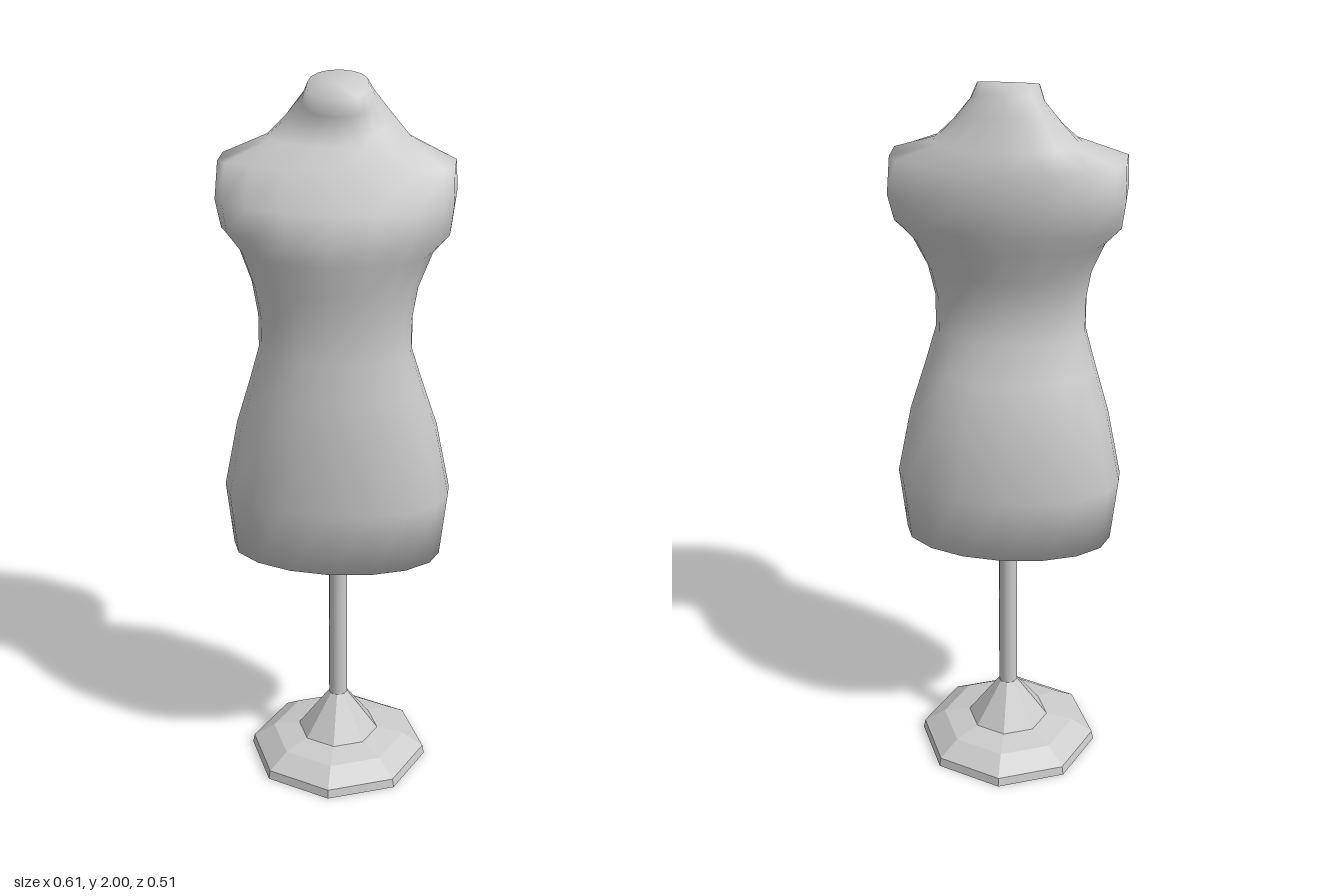
import * as THREE from 'three';

const grey = new THREE.MeshStandardMaterial({ color: 0xcccccc });
const faceted = new THREE.MeshStandardMaterial({ color: 0xcccccc, flatShading: true });

// Torso sections: height, half width, front z, back z, side flat from z / to z, fullness power, tilt
const SECTIONS = [
  [0.70, 0.285, 0.212, -0.16, 0.05, 0.00, 1.0, 0],
  [0.88, 0.305, 0.225, -0.17, 0.05, 0.00, 1.0, 0],
  [1.07, 0.268, 0.225, -0.155, 0.05, 0.01, 1.0, 0],
  [1.20, 0.228, 0.212, -0.105, 0.07, 0.03, 1.0, 0],
  [1.30, 0.200, 0.200, -0.07, 0.08, 0.05, 1.0, 0],
  [1.39, 0.200, 0.195, -0.06, 0.08, 0.05, 1.0, 0],
  [1.48, 0.215, 0.207, -0.08, 0.08, 0.03, 1.0, 0],
  [1.57, 0.250, 0.222, -0.112, 0.07, 0.00, 1.1, 0],
  [1.62, 0.292, 0.226, -0.127, 0.075, -0.02, 1.2, 0],
  [1.70, 0.302, 0.212, -0.15, 0.10, -0.055, 1.3, 0],
  [1.79, 0.300, 0.130, -0.147, 0.06, -0.02, 1.3, 0],
  [1.84, 0.185, 0.090, -0.128, 0.00, -0.03, 1.0, 0],
  [1.885, 0.135, 0.070, -0.10, 0.00, -0.02, 0.9, -0.36],
  [1.937, 0.092, 0.064, -0.08, 0.00, -0.02, 0.9, -0.45],
  [1.981, 0.077, 0.080, -0.06, 0.02, 0.00, 0.9, -0.32],
];
const QUARTER = 4; // steps per quarter of a section

// One closed loop of points, running front -> left -> back -> right
function sectionLoop([y, hx, front, back, sideFront, sideBack, power, tilt]) {
  const half = [];
  for (const [tip, side, dir] of [[front, sideFront, 1], [back, sideBack, -1]]) {
    for (let k = 0; k <= QUARTER; k++) {
      const a = (dir > 0 ? k : QUARTER - k) / QUARTER * Math.PI / 2;
      const c = Math.max(0, Math.cos(a));
      const z = side + (tip - side) * Math.pow(c, power);
      half.push([hx * Math.sin(a), y + tilt * z, z]);
    }
  }
  const mirrored = half.slice(1, -1).reverse().map(([x, py, z]) => [-x, py, z]);
  return half.concat(mirrored);
}

// Skin the sections into a closed, smooth surface
function torsoGeometry() {
  const loops = SECTIONS.map(sectionLoop);
  const n = loops[0].length;
  const points = loops.flat();
  const index = [];
  for (let i = 0; i < loops.length - 1; i++) {
    for (let j = 0; j < n; j++) {
      const a = i * n + j, b = i * n + (j + 1) % n;
      index.push(a, b, b + n, a, b + n, a + n);
    }
  }
  // Underside and neck lid
  const middle = (loop) => [0, (loop[0][1] + loop[n / 2][1]) / 2, (loop[0][2] + loop[n / 2][2]) / 2];
  const bottom = points.push(middle(loops[0])) - 1;
  const top = points.push(middle(loops[loops.length - 1])) - 1;
  const last = (loops.length - 1) * n;
  for (let j = 0; j < n; j++) {
    const k = (j + 1) % n;
    index.push(bottom, k, j, top, last + j, last + k);
  }
  const geometry = new THREE.BufferGeometry();
  geometry.setAttribute('position', new THREE.Float32BufferAttribute(points.flat(), 3));
  geometry.setIndex(index);
  geometry.computeVertexNormals();
  return geometry;
}

export function createModel() {
  const model = new THREE.Group();
  model.name = 'dressForm';
  const add = (name, geometry, material) => {
    const mesh = new THREE.Mesh(geometry, material);
    mesh.name = name;
    model.add(mesh);
    return mesh;
  };

  add('torso', torsoGeometry(), grey);

  // Upright pole, running a little into the torso
  add('pole', new THREE.CylinderGeometry(0.026, 0.026, 0.54, 12), grey).position.y = 0.45;

  // Eight-sided foot with a flared collar
  const foot = [[0, 0], [0.255, 0], [0.25, 0.025], [0.19, 0.065], [0.115, 0.08], [0.027, 0.2], [0, 0.2]]
    .map(([r, y]) => new THREE.Vector2(r, y));
  add('base', new THREE.LatheGeometry(foot, 8), faceted);

  return model;
}
